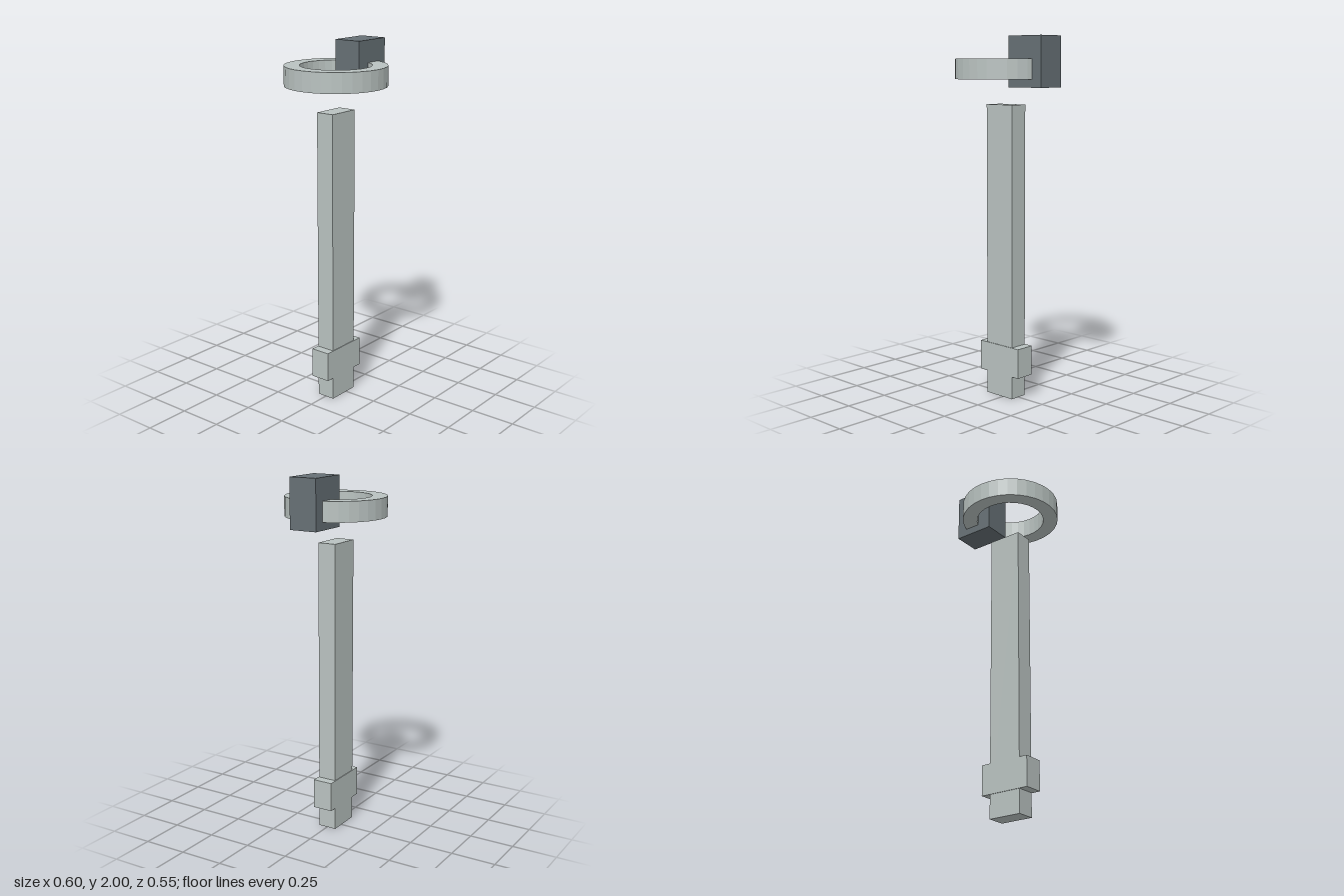
import * as THREE from 'three';

const paleMetal = new THREE.MeshStandardMaterial({ color: 0xb9c2c0, flatShading: true });
paleMetal.name = 'paleMetal';
const darkMetal = new THREE.MeshStandardMaterial({ color: 0x667075, flatShading: true });
darkMetal.name = 'darkMetal';

// Box given by its extents in x and y and its depth, centred on z = 0
function box(name, x0, x1, y0, y1, depth, material) {
  const mesh = new THREE.Mesh(new THREE.BoxGeometry(x1 - x0, y1 - y0, depth), material);
  mesh.position.set((x0 + x1) / 2, (y0 + y1) / 2, 0);
  mesh.name = name;
  return mesh;
}

// Flat ring with a rectangular section, turned about the y axis
function ring(name, inner, outer, height, sides, material) {
  const h = height / 2;
  const profile = [[inner, -h], [outer, -h], [outer, h], [inner, h], [inner, -h]]
    .map(([r, y]) => new THREE.Vector2(r, y));
  const mesh = new THREE.Mesh(new THREE.LatheGeometry(profile, sides), material);
  mesh.name = name;
  return mesh;
}

export function createModel() {
  const model = new THREE.Group();
  model.name = 'ringedPost';

  // Post with a wider collar near its foot
  model.add(box('shaft', -0.12, 0.07, 0, 1.635, 0.105, paleMetal));
  model.add(box('collar', -0.17, 0.12, 0.13, 0.296, 0.113, paleMetal));

  // Floating ring with a block set over its side
  const hoop = ring('ring', 0.193, 0.276, 0.108, 32, paleMetal);
  hoop.position.set(-0.025, 1.826, 0);
  model.add(hoop);
  model.add(box('block', 0.07, 0.3, 1.73, 2, 0.158, darkMetal));

  return model;
}
